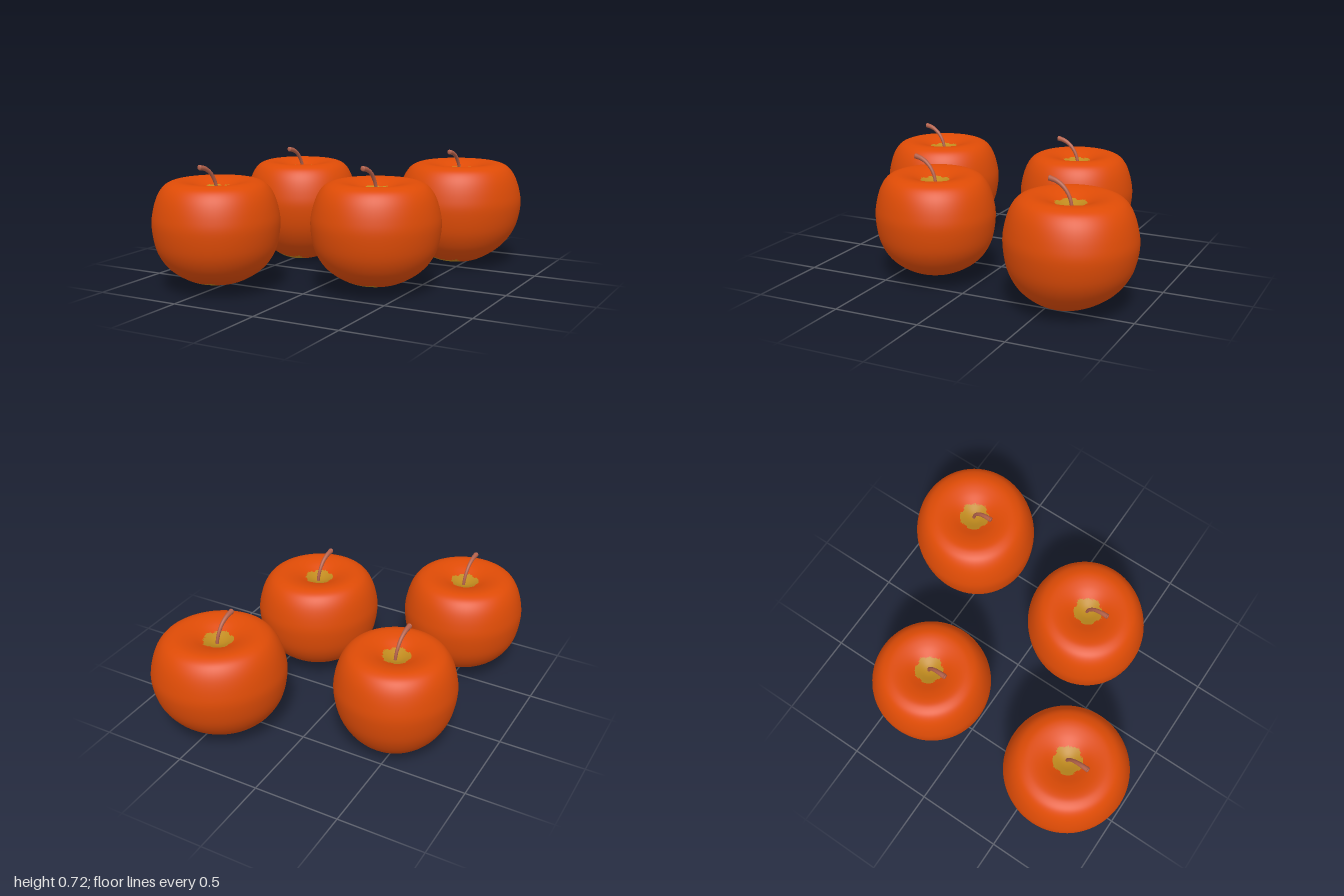
import * as THREE from 'three';
import { mergeVertices } from 'three/addons/utils/BufferGeometryUtils.js';

const mat = (name, color) => Object.assign(new THREE.MeshStandardMaterial({ color }), { name });

// Half section of one fruit, from the bottom pole to the middle of the stem hollow
const PROFILE = [
  [0, 0.042], [0.075, 0.047], [0.15, 0.064], [0.235, 0.112], [0.295, 0.172], [0.337, 0.257],
  [0.355, 0.375], [0.346, 0.46], [0.321, 0.54], [0.285, 0.593], [0.24, 0.617], [0.195, 0.62],
  [0.14, 0.608], [0.085, 0.586], [0.035, 0.566], [0, 0.56],
].map(([x, y]) => new THREE.Vector2(x, y));

// Outline of the patch under the fruit, as x and z offsets
const PATCH = [[-0.13, 0.12], [-0.11, 0.16], [0.07, 0.16], [0.09, 0.06], [0.1, -0.06],
  [0.075, -0.14], [0.03, -0.11], [-0.03, -0.03], [-0.07, 0.05]];

function insidePatch(x, z) {
  let inside = false;
  for (let i = 0, j = PATCH.length - 1; i < PATCH.length; j = i++) {
    const [xi, zi] = PATCH[i], [xj, zj] = PATCH[j];
    if (zi > z !== zj > z && x < ((xj - xi) * (z - zi)) / (zj - zi) + xi) inside = !inside;
  }
  return inside;
}

// Ragged edge of the stem hollow patch
const hollowRadius = (a) => 0.081 + 0.004 * Math.sin(5 * a + 1) + 0.003 * Math.sin(9 * a);

function fruitGeometry({ radius, bottom, top, bulge, taper, lean }) {
  const points = new THREE.SplineCurve(PROFILE).getPoints(84);
  points.forEach((p) => { p.x = Math.max(p.x, 0); });
  points[0].x = points[points.length - 1].x = 0;
  let geo = new THREE.LatheGeometry(points, 72);
  geo.deleteAttribute('uv');
  geo.deleteAttribute('normal');
  geo = mergeVertices(geo, 1e-5);

  // Sort the faces into skin and yellow patches
  const pos = geo.attributes.position, idx = geo.index.array;
  const faces = [[], []];
  for (let i = 0; i < idx.length; i += 3) {
    const [a, b, c] = [idx[i], idx[i + 1], idx[i + 2]];
    if (a === b || b === c || a === c) continue;
    const mid = (get) => (get.call(pos, a) + get.call(pos, b) + get.call(pos, c)) / 3;
    const x = mid(pos.getX), y = mid(pos.getY), z = mid(pos.getZ);
    const inHollow = y > 0.5 && Math.hypot(x, z) < hollowRadius(Math.atan2(z, x));
    const below = y < 0.2 && insidePatch(x, z);
    faces[inHollow || below ? 1 : 0].push(a, b, c);
  }
  geo.setIndex(faces.flat());
  geo.addGroup(0, faces[0].length, 0);
  geo.addGroup(faces[0].length, faces[1].length, 1);

  // Bulge the girth to one side; taper, stretch and lean the lower half
  for (let i = 0; i < pos.count; i++) {
    const x = pos.getX(i), y = pos.getY(i), z = pos.getZ(i);
    const r = Math.hypot(x, z), a = Math.atan2(z, x) + Math.PI / 4;
    const low = Math.max(0, (0.4 - y) / 0.358) ** 2;
    const high = Math.max(0, (y - 0.4) / 0.22) ** 2;
    const s = (radius / 0.355) * (1 - taper * low)
      * (1 + bulge * (r / 0.355) * (Math.cos(2 * a) + 0.4 * Math.cos(a)));
    pos.setXYZ(i, x * s, y + low * (bottom - 0.042) + high * (top - 0.62), z * s + lean * low);
  }
  geo.computeVertexNormals();
  return geo;
}

// Curved stem, wider toward the tip, with a domed end
function stemGeometries() {
  const curve = new THREE.CatmullRomCurve3([
    [0.004, 0.54, -0.008], [0.003, 0.585, -0.003], [0, 0.63, 0.014], [-0.003, 0.67, 0.045],
    [-0.007, 0.695, 0.085], [-0.011, 0.706, 0.128],
  ].map((p) => new THREE.Vector3(...p)));
  const rings = 20, sides = 10;
  const tube = new THREE.TubeGeometry(curve, rings, 1, sides);
  const pos = tube.attributes.position, v = new THREE.Vector3();
  for (let i = 0; i < pos.count; i++) {
    const u = Math.floor(i / (sides + 1)) / rings, c = curve.getPointAt(u);
    v.fromBufferAttribute(pos, i).sub(c).multiplyScalar(0.009 + 0.006 * u * u).add(c);
    pos.setXYZ(i, v.x, v.y, v.z);
  }
  const tip = new THREE.SphereGeometry(0.015, 10, 6);
  tip.scale(1, 1, 0.4);
  tip.translate(-0.011, 0.706, 0.128);
  return { stem: tube, stemTip: tip };
}

export function createModel() {
  const model = new THREE.Group();
  model.name = 'fourApples';
  const skin = mat('orangeRedSkin', 0xde4b06);
  const yellow = mat('yellowPatch', 0xc08a1e);
  const wood = mat('brownStem', 0xb2604a);

  const fruits = [
    { name: 'frontRightApple', x: -0.47, z: 0.642, radius: 0.355, bottom: 0.042, top: 0.62, bulge: 0, taper: 0, lean: 0 },
    { name: 'backRightApple', x: -0.47, z: -0.285, radius: 0.342, bottom: 0, top: 0.62, bulge: 0, taper: 0.08, lean: 0 },
    { name: 'frontLeftApple', x: 0.325, z: 0.262, radius: 0.352, bottom: 0.042, top: 0.62, bulge: 0.035, taper: 0, lean: 0 },
    { name: 'backLeftApple', x: 0.457, z: -0.62, radius: 0.368, bottom: 0.02, top: 0.628, bulge: 0.035, taper: 0.05, lean: 0.025 },
  ];
  const stemParts = Object.entries(stemGeometries());
  for (const f of fruits) {
    const apple = new THREE.Group();
    apple.name = f.name;
    apple.position.set(f.x, 0, f.z);
    const body = new THREE.Mesh(fruitGeometry(f), [skin, yellow]);
    body.name = 'fruit';
    apple.add(body);
    for (const [name, geometry] of stemParts) {
      const part = new THREE.Mesh(geometry, wood);
      part.name = name;
      apple.add(part);
    }
    model.add(apple);
  }
  return model;
}
